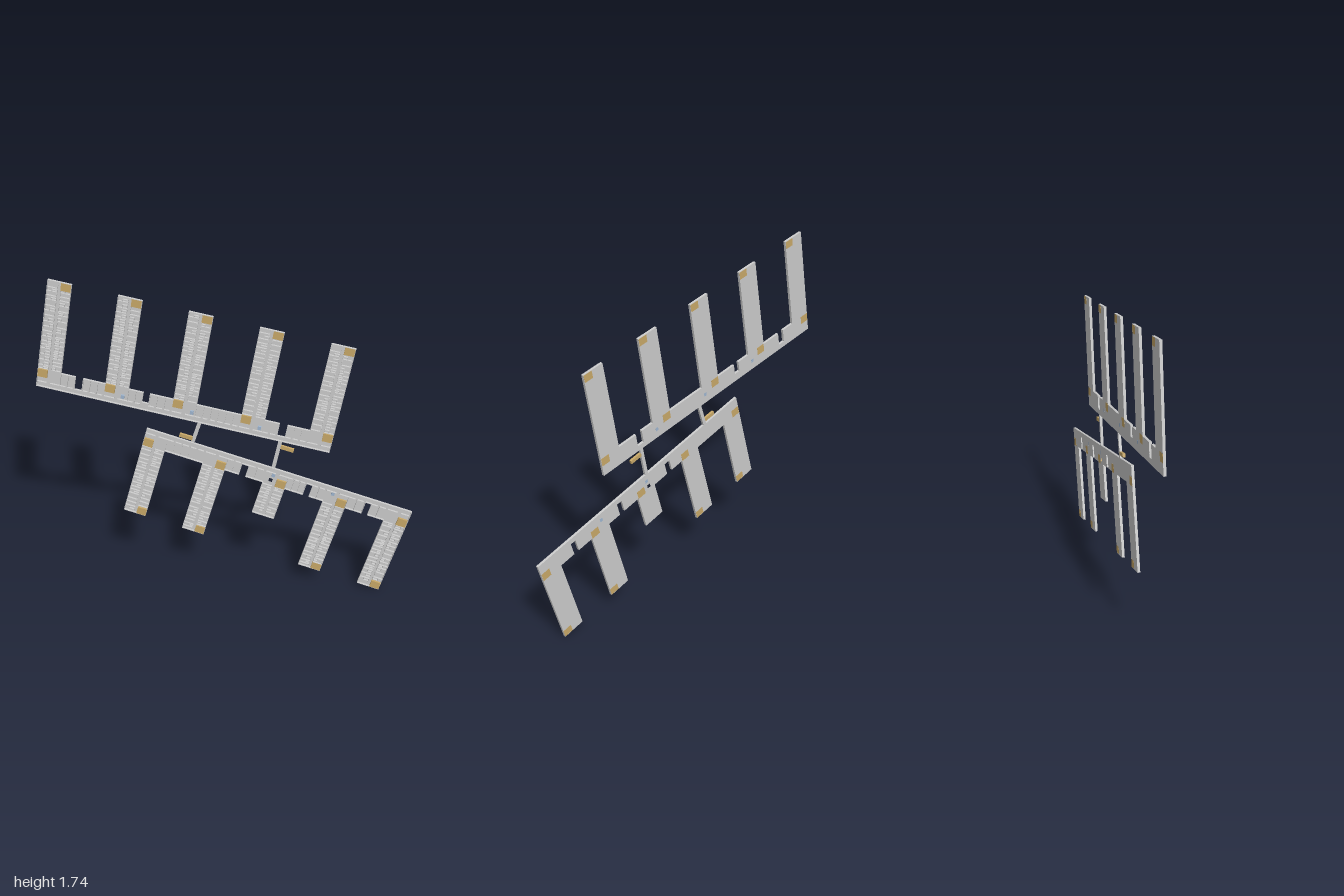
import * as THREE from 'three';
import { mergeGeometries } from 'three/addons/utils/BufferGeometryUtils.js';

const BACK = -0.007, FLOOR = -0.0045, FRONT = 0.007;
const BAND = 0.103, STRIP = 0.03;
const grey = new THREE.MeshStandardMaterial({ color: 0xcccccc });
const tan = new THREE.MeshStandardMaterial({ color: 0xc8a868 });
const blue = new THREE.MeshStandardMaterial({ color: 0x9fb6d0 });

function makeRandom(seed) {
  return () => (seed = (seed * 16807) % 2147483647) / 2147483647;
}

// Box spanning z0..z1, centred at (x, y)
function slabBox(x, y, w, h, z0 = BACK, z1 = FRONT) {
  return new THREE.BoxGeometry(w, h, z1 - z0).translate(x, y, (z0 + z1) / 2);
}

function named(name, geometry, material) {
  const mesh = new THREE.Mesh(geometry, material);
  mesh.name = name;
  return mesh;
}

// A comb-shaped floor: u runs along the spine, v along the wings, s flips the wings
function createBlock(o) {
  const { s, length, width, starts, depths, notches } = o;
  const random = makeRandom(o.seed);
  const group = new THREE.Group();
  group.name = o.name;

  // Outline, anticlockwise in (u, v)
  const outline = [[0, 0], [length, 0]];
  for (let i = starts.length - 1; i >= 0; i--) {
    const u = starts[i];
    outline.push([u + width, depths[i]], [u, depths[i]]);
    if (i === 0) break;
    outline.push([u, BAND]);
    const n = notches[i - 1];
    if (n) outline.push([n[1], BAND], [n[1], n[2]], [n[0], n[2]], [n[0], BAND]);
    outline.push([starts[i - 1] + width, BAND]);
  }

  // Floor plate, with light shafts
  const shape = new THREE.Shape(outline.map(([u, v]) => new THREE.Vector2(u, s * v)));
  for (const [u, v, r] of o.shafts) {
    const corners = [[-r, -r], [-r, r], [r, r], [r, -r]];
    shape.holes.push(new THREE.Path(corners.map(([a, b]) => new THREE.Vector2(u + a, s * v + b))));
  }
  const plate = new THREE.ExtrudeGeometry(shape, { depth: FLOOR - BACK, bevelEnabled: false });
  group.add(named('floorPlate', plate.translate(0, 0, BACK), grey));

  const wallBox = (u0, v0, u1, v1, t) => {
    const len = Math.hypot(u1 - u0, v1 - v0);
    const box = new THREE.BoxGeometry(len, t, FRONT - FLOOR);
    box.rotateZ(Math.atan2(s * (v1 - v0), u1 - u0));
    return box.translate((u0 + u1) / 2, s * (v0 + v1) / 2, (FLOOR + FRONT) / 2);
  };

  // Outer walls, set inside the outline
  const T = 0.003;
  const outer = outline.map(([u0, v0], i) => {
    const [u1, v1] = outline[(i + 1) % outline.length];
    const len = Math.hypot(u1 - u0, v1 - v0);
    const du = -(v1 - v0) / len * T / 2, dv = (u1 - u0) / len * T / 2;
    return wallBox(u0 + du, v0 + dv, u1 + du, v1 + dv, T);
  });
  group.add(named('outerWalls', mergeGeometries(outer), grey));

  // Room walls of the wings: a central corridor with rooms on both sides
  const inner = [];
  const t = 0.0016;
  starts.forEach((u, i) => {
    const cl = u + width * 0.44, cr = u + width * 0.58;
    for (const [side, corridor] of [[u, cl], [u + width, cr]]) {
      let v = BAND + 0.008;
      while (v < depths[i] - 0.02) {
        const next = Math.min(v + 0.02 + random() * 0.016, depths[i] - T);
        inner.push(wallBox(side, v, corridor, v, t));
        inner.push(wallBox(corridor, v, corridor, v + (next - v) * 0.7, t));
        // Small closet in some of the rooms
        if (random() < 0.6) {
          const c = corridor + (side - corridor) * (0.35 + random() * 0.2);
          const m = v + (next - v) * 0.5;
          inner.push(wallBox(c, v, c, m, t), wallBox(c, m, corridor, m, t));
        }
        v = next;
      }
    }
  });

  // Rooms between the wings, along the spine passage
  for (let i = 0; i + 1 < starts.length; i++) {
    const n = notches[i];
    const from = starts[i] + width, to = starts[i + 1];
    const spans = n ? [[from, n[0]], [n[1], to]] : [[from, to]];
    for (const [a, b] of spans) {
      const count = Math.max(1, Math.round((b - a) / 0.04));
      for (let k = 0; k < count; k++) {
        const u0 = a + (b - a) * k / count, u1 = a + (b - a) * (k + 1) / count;
        inner.push(wallBox(u0, STRIP, u0, BAND, t));
        inner.push(wallBox(u0, STRIP, u0 + (u1 - u0) * 0.75, STRIP, t));
      }
    }
  }
  // Passage wall at the foot of every wing, open at its corridor
  for (const u of starts) {
    inner.push(wallBox(u, STRIP, u + width * 0.44, STRIP, t));
    inner.push(wallBox(u + width * 0.58, STRIP, u + width, STRIP, t));
  }
  group.add(named('roomWalls', mergeGeometries(inner), grey));

  // Stairwells at the foot and the far end of the wings
  const stairs = [];
  starts.forEach((u, i) => {
    const z0 = BACK - 0.0003, z1 = FRONT + 0.0003;
    stairs.push(slabBox(u + o.footStairs[i], s * 0.083, 0.052, 0.046, z0, z1));
    if (depths[i] > 0.4) stairs.push(slabBox(u + 0.097, s * (depths[i] - 0.023), 0.052, 0.042, z0, z1));
  });
  group.add(named('stairwells', mergeGeometries(stairs), tan));

  // Lifts
  const lifts = o.lifts.map(([u, v]) => slabBox(u, s * v, 0.018, 0.02, BACK - 0.0002, FRONT));
  group.add(named('lifts', mergeGeometries(lifts), blue));

  group.position.set(o.origin[0], o.origin[1], 0);
  group.rotation.z = o.angle;
  return group;
}

// Open passage joining the two blocks: a floor and two side walls
function createPassage(x0, y0, x1, y1) {
  const len = Math.hypot(x1 - x0, y1 - y0), w = 0.02;
  const parts = [slabBox(0, 0, len, w, BACK, FLOOR)];
  for (const k of [-1, 1]) parts.push(slabBox(0, k * (w / 2 - 0.0015), len, 0.003, FLOOR, FRONT));
  const mesh = named('linkPassage', mergeGeometries(parts), grey);
  mesh.position.set((x0 + x1) / 2, (y0 + y1) / 2, 0);
  mesh.rotation.z = Math.atan2(y1 - y0, x1 - x0);
  return mesh;
}

export function createModel() {
  const model = new THREE.Group();
  model.name = 'floorPlan';

  model.add(createBlock({
    name: 'upperBlock', s: 1, seed: 17, origin: [-1, 1.13], angle: -0.174,
    length: 1.573, width: 0.125, starts: [0, 0.362, 0.724, 1.086, 1.448],
    depths: [0.619, 0.619, 0.619, 0.619, 0.619],
    notches: [[0.203, 0.243, 0.03], [0.565, 0.6, 0.045], null, [1.289, 1.33, 0.03]],
    footStairs: [0.027, 0.027, 0.027, 0.027, 0.097],
    lifts: [[0.46, 0.05], [0.83, 0.05], [1.19, 0.05]], shafts: [],
  }));

  model.add(createBlock({
    name: 'lowerBlock', s: -1, seed: 91, origin: [-0.415, 0.92], angle: -0.269,
    length: 1.468, width: 0.124, starts: [0, 0.334, 0.668, 1.004, 1.344],
    depths: [0.547, 0.547, 0.308, 0.547, 0.547],
    notches: [null, [0.537, 0.573, 0.033], [0.893, 0.926, 0.03], [1.221, 1.253, 0.03]],
    footStairs: [0.028, 0.095, 0.095, 0.095, 0.095],
    lifts: [[0.712, 0.042], [1.042, 0.04]], shafts: [[0.706, 0.08, 0.01]],
  }));

  model.add(createPassage(-0.133, 0.98, -0.174, 0.85));
  model.add(createPassage(0.292, 0.905, 0.258, 0.735));

  // Outdoor stairs beside the passages
  for (const [x, y] of [[-0.207, 0.887], [0.328, 0.86]]) {
    const stair = named('sideStair', slabBox(0, 0, 0.072, 0.02), tan);
    stair.position.set(x, y, 0);
    stair.rotation.z = -0.25;
    model.add(stair);
  }
  return model;
}
